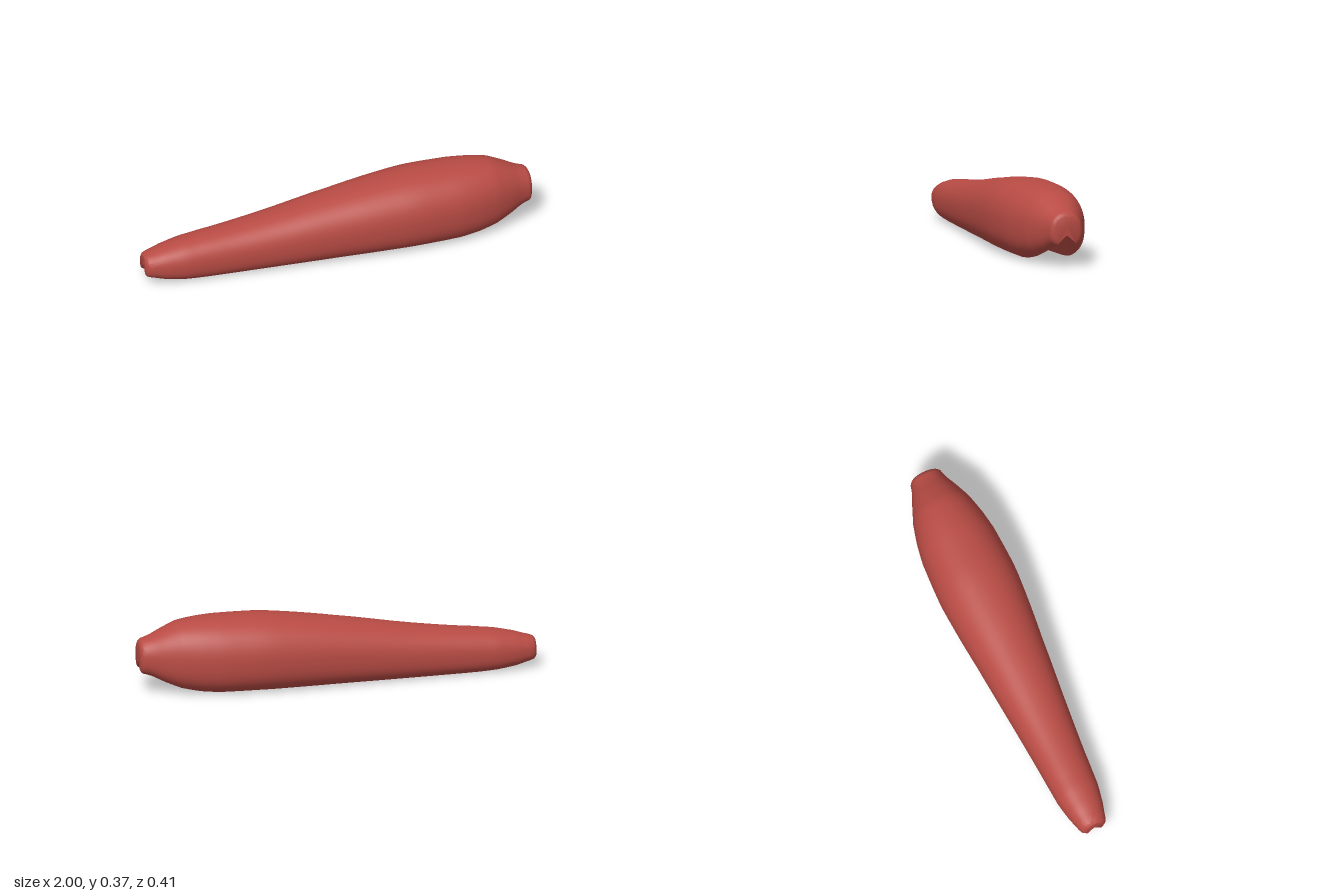
import * as THREE from 'three';
import { toCreasedNormals } from 'three/addons/utils/BufferGeometryUtils.js';

// Stations along the body: x, bottom, top, half width
const STATIONS = [
  [-1, 0.055, 0.145, 0.05], [-0.99, 0.045, 0.155, 0.064], [-0.97, 0.039, 0.162, 0.073],
  [-0.9, 0.022, 0.183, 0.092], [-0.8, 0.009, 0.205, 0.11], [-0.7, 0.004, 0.218, 0.117],
  [-0.4, 0.002, 0.255, 0.14], [0, 0.002, 0.321, 0.176], [0.2, 0.002, 0.351, 0.195],
  [0.4, 0.002, 0.372, 0.205], [0.6, 0.003, 0.374, 0.196], [0.7, 0.011, 0.369, 0.18],
  [0.8, 0.031, 0.355, 0.155], [0.88, 0.064, 0.322, 0.123], [0.965, 0.103, 0.284, 0.088],
  [0.985, 0.108, 0.278, 0.083], [0.995, 0.116, 0.268, 0.075], [1, 0.126, 0.258, 0.065],
];
const OUTER = 44;
const GROOVE = 5;
const STEPS = 4;

// One closed cross-section: rounded shell with a V groove cut up from below
function section(x, bottom, top, halfWidth) {
  const k = (x + 1) / 2;
  const apex = THREE.MathUtils.lerp(0.1, 0.165, k);
  const grooveWidth = THREE.MathUtils.lerp(0.052, 0.103, Math.min(1, k * 1.2));
  const lip = 0.012 + (grooveWidth - 0.012) * (apex - bottom) / apex;
  const mid = bottom + 0.46 * (top - bottom);
  const nLow = 2.7, nHigh = 2.2;
  const start = Math.asin(Math.pow(Math.min(0.95, (lip + 0.006) / halfWidth), nLow / 2));
  const points = [];

  // Outer shell, from one lip over the top to the other
  for (let i = 0; i <= OUTER; i++) {
    const u = -1 + 2 * i / OUTER;
    const t = start + (1 - Math.abs(u)) * (Math.PI - start);
    const s = Math.abs(Math.sin(t)), c = Math.cos(t);
    const n = c > 0 ? nLow : nHigh;
    const z = halfWidth * Math.pow(s, 2 / n) * (u < 0 ? 1 : -1);
    const h = Math.pow(Math.abs(c), 2 / n);
    const y = c > 0 ? Math.max(bottom, mid - h * (mid - bottom) * 1.04) : mid + h * (top - mid);
    points.push([x, y, z]);
  }

  // Groove walls with a narrow rounded roof
  const low = points[0][1] + 0.006;
  const wall = [];
  for (let i = 0; i < GROOVE; i++) {
    const f = i / (GROOVE - 1);
    wall.push([x, THREE.MathUtils.lerp(low, apex - 0.012, f), THREE.MathUtils.lerp(lip, 0.014, f)]);
  }
  wall.forEach(p => points.push([p[0], p[1], -p[2]]));
  points.push([x, apex, 0]);
  wall.reverse().forEach(p => points.push(p));
  return { points, centre: [x, (apex + top) / 2, 0] };
}

function bodyGeometry() {
  // Smooth the stations lengthwise
  const shape = new THREE.CatmullRomCurve3(STATIONS.map(s => new THREE.Vector3(s[1], s[2], s[3])));
  const last = STATIONS.length - 1;
  const rows = [];
  for (let i = 0; i <= last * STEPS; i++) {
    const a = Math.floor(i / STEPS), b = Math.min(last, a + 1);
    const x = THREE.MathUtils.lerp(STATIONS[a][0], STATIONS[b][0], (i % STEPS) / STEPS);
    const p = shape.getPoint(i / (last * STEPS));
    rows.push(section(x, Math.max(0, p.x), p.y, p.z));
  }

  const count = rows[0].points.length;
  const positions = rows.flatMap(r => r.points.flat());
  const index = [];
  for (let r = 0; r < rows.length - 1; r++) {
    for (let i = 0; i < count; i++) {
      const j = (i + 1) % count;
      const a = r * count + i, b = r * count + j;
      index.push(a, a + count, b, b, a + count, b + count);
    }
  }

  // Close both ends
  const tail = rows.length * count, nose = tail + 1, noseRow = (rows.length - 1) * count;
  positions.push(...rows[0].centre, ...rows[rows.length - 1].centre);
  for (let i = 0; i < count; i++) {
    const j = (i + 1) % count;
    index.push(tail, i, j, nose, noseRow + j, noseRow + i);
  }

  const geometry = new THREE.BufferGeometry();
  geometry.setAttribute('position', new THREE.Float32BufferAttribute(positions, 3));
  geometry.setIndex(index);
  return toCreasedNormals(geometry, 0.7);
}

export function createModel() {
  const group = new THREE.Group();
  group.name = 'groovedTaperedBody';
  const red = new THREE.MeshStandardMaterial({ color: 0xb84b44 });
  red.name = 'brickRed';
  const body = new THREE.Mesh(bodyGeometry(), red);
  body.name = 'body';
  group.add(body);
  return group;
}
